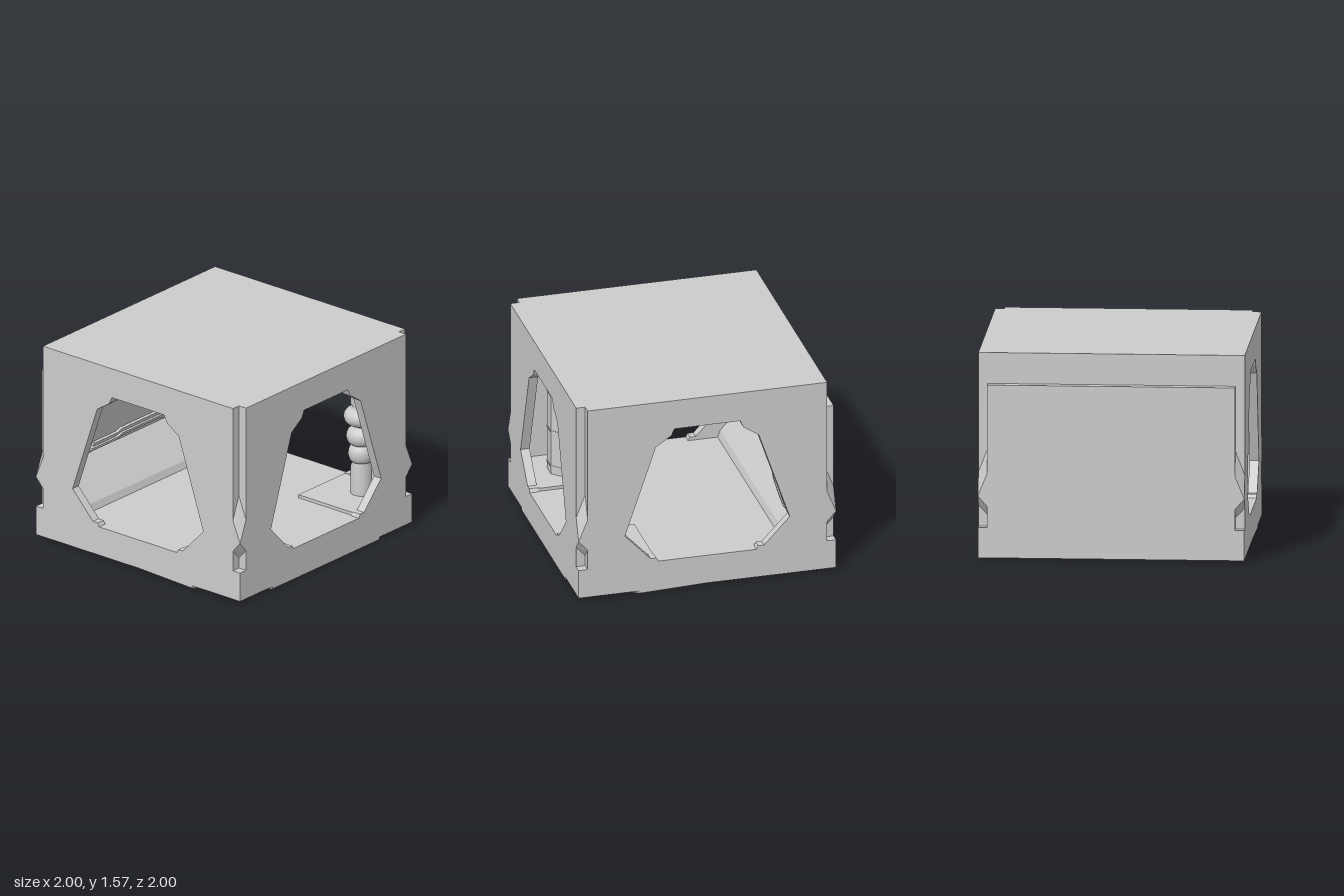
import * as THREE from 'three';
import { ConvexGeometry } from 'three/addons/geometries/ConvexGeometry.js';

const TOP = 1.57, CEIL = 1.335, FLOOR = 0.25, IN = 0.93, BASE = 0.02;
const v2 = (p) => new THREE.Vector2(p[0], p[1]);

export function createModel() {
  const root = new THREE.Group();
  const flat = new THREE.MeshStandardMaterial({ color: 0xcccccc, flatShading: true });
  const smooth = new THREE.MeshStandardMaterial({ color: 0xcccccc });

  const add = (name, geo, parent = root, mat = flat) => {
    const mesh = new THREE.Mesh(geo, mat);
    mesh.name = name;
    parent.add(mesh);
    return mesh;
  };
  // Box given by its minimum and maximum corners
  const box = (name, a, b, parent = root) => add(name,
    new THREE.BoxGeometry(b[0] - a[0], b[1] - a[1], b[2] - a[2])
      .translate((a[0] + b[0]) / 2, (a[1] + b[1]) / 2, (a[2] + b[2]) / 2), parent);
  const extrude = (points, depth, hole) => {
    const shape = new THREE.Shape(points.map(v2));
    if (hole) shape.holes.push(new THREE.Path(hole.map(v2)));
    return new THREE.ExtrudeGeometry(shape, { depth, bevelEnabled: false });
  };
  const mirrored = (half) => [...half, ...half.slice().reverse().map(([x, y]) => [-x, y])];

  // Window outline shared by the three open walls
  const opening = mirrored([[0.38, FLOOR], [0.395, 0.278], [0.44, 0.278], [0.64, 0.49],
    [0.4, 1.2], [0.28, 1.28], [0.255, CEIL]]);
  const T = 1 - IN;

  // Walls: front with notched corners, then both sides
  const frontOutline = mirrored([[1, BASE], [1, FLOOR], [IN, FLOOR], [IN, TOP]]);
  add('frontWall', extrude(frontOutline, T, opening).translate(0, 0, IN));
  for (const [name, x] of [['leftWall', IN], ['rightWall', -1]]) {
    add(name, extrude(mirrored([[IN, BASE], [IN, TOP]]), T, opening)
      .rotateY(Math.PI / 2).translate(x, 0, 0));
  }

  // Floor, roof and the raised back panel
  box('floor', [-IN, BASE, -IN], [IN, FLOOR, IN]);
  box('roof', [-IN, CEIL, -IN], [IN, TOP, IN]);
  add('backPanel', extrude(mirrored([[1, BASE], [1, FLOOR], [IN, FLOOR], [IN, CEIL]]), T)
    .translate(0, 0, -1));

  // Shallow wedge under the front, cut at both corners
  const under = [];
  for (const s of [-1, 1]) {
    for (const y of [0, BASE]) {
      under.push(new THREE.Vector3(s * 0.62, y, 1), new THREE.Vector3(s, y, 0.53));
    }
    under.push(new THREE.Vector3(s, BASE, 0));
  }
  add('undersideWedge', new ConvexGeometry(under));

  // Pointed bump in each corner groove
  for (const sx of [-1, 1]) {
    for (const sz of [-1, 1]) {
      const p = [[1, 0.49, 1], [IN, 0.66, 1], [1, 0.66, IN], [IN, 0.84, IN],
        [IN, 0.41, 1], [1, 0.41, IN], [IN, 0.335, IN]];
      add('cornerBump', new ConvexGeometry(p.map(([x, y, z]) => new THREE.Vector3(x * sx, y, z * sz))));
    }
  }

  // Inner back wall: faceted section running across the room
  const section = [[-IN, FLOOR], [-0.61, FLOOR], [-0.63, 0.305], [-0.87, 0.57],
    [-0.63, 1.2], [-0.51, 1.28], [-0.49, CEIL], [-IN, CEIL]];
  add('innerBackWall', extrude(section, 2 * IN).rotateY(-Math.PI / 2).translate(IN, 0, 0));

  // Trim on the leaning part of the back wall
  const trim = new THREE.Group();
  trim.name = 'backWallTrim';
  trim.position.set(0, 0.57, -0.87);
  trim.rotation.x = Math.atan2(0.24, 0.63);
  root.add(trim);
  const strip = (name, half, y, h, step, depth) => {
    const c = Math.cos(trim.rotation.x);
    const edge = [[-half, 0], [-0.27, 0], [-0.23, step], [0.23, step], [0.27, 0], [half, 0]];
    const at = (dy) => edge.map(([x, e]) => [x, (y + e + dy - 0.57) / c]);
    add(name, extrude([...at(0), ...at(h).reverse()], depth), trim);
  };
  strip('lowerTrim', 0.57, 0.615, 0.025, 0.022, 0.035);
  strip('lowerTrimInset', 0.54, 0.64, 0.03, 0.022, 0.02);
  strip('upperTrim', 0.9, 1.035, 0.04, -0.018, 0.03);

  // Raised floor plates at the front corners
  for (const s of [-1, 1]) {
    const x = [s * 0.39, s * IN].sort((a, b) => a - b);
    box('cornerPlate', [x[0], FLOOR, 0.4], [x[1], 0.275, IN]);
  }

  // Octagonal pillar with thin collars and pipes into the corner
  const pillar = new THREE.Group();
  pillar.name = 'pillar';
  pillar.position.set(-0.66, 0, 0.645);
  root.add(pillar);
  const octagon = (name, r, y0, y1) => add(name, new THREE.CylinderGeometry(r, r, y1 - y0, 8)
    .rotateY(Math.PI / 8).translate(0, (y0 + y1) / 2, 0), pillar);
  octagon('pillarShaft', 0.14, 0.27, CEIL);
  for (const y of [0.33, 0.62, 0.92, 1.2]) octagon('pillarCollar', 0.144, y, y + 0.015);
  for (const y of [0.66, 0.8]) {
    add('pillarPipe', new THREE.CapsuleGeometry(0.055, 0.2, 6, 16)
      .rotateZ(Math.PI / 2).rotateY(Math.PI / 4).translate(-0.09, y, -0.03), pillar, smooth);
  }

  // Bulging column in the other front corner
  const bulges = [[0.08, 0.27], [0.08, 0.5]];
  for (const [y, r] of [[0.6, 0.1], [0.74, 0.115], [0.9, 0.135]]) {
    for (let i = 0; i <= 8; i++) {
      const a = (i / 8) * Math.PI;
      bulges.push([0.06 + (r - 0.06) * Math.sin(a), y - 0.07 * Math.cos(a)]);
    }
  }
  bulges.push([0.08, 1.0], [0.08, CEIL]);
  add('bulgingColumn', new THREE.LatheGeometry(bulges.map(v2), 24), root, smooth)
    .position.set(0.73, 0, 0.73);

  // Bracket with hanging pipes in the back corner
  const hanger = new THREE.Group();
  hanger.name = 'hangingPipes';
  hanger.position.set(0.76, 0, -0.68);
  root.add(hanger);
  box('bracket', [-0.09, 0.78, -0.12], [0.1, 1.1, 0.07], hanger);
  for (const x of [-0.06, 0.06]) {
    const path = new THREE.CatmullRomCurve3([[0, 0.82, 0.02], [0, 0.74, 0.05], [0, 0.6, 0.02],
      [0, 0.45, -0.03]].map(([px, y, z]) => new THREE.Vector3(px + x, y, z)));
    add('pipe', new THREE.TubeGeometry(path, 12, 0.045, 10), hanger, smooth);
    add('pipeEnd', new THREE.SphereGeometry(0.045, 12, 8).translate(x, 0.45, -0.03), hanger, smooth);
  }

  return root;
}
